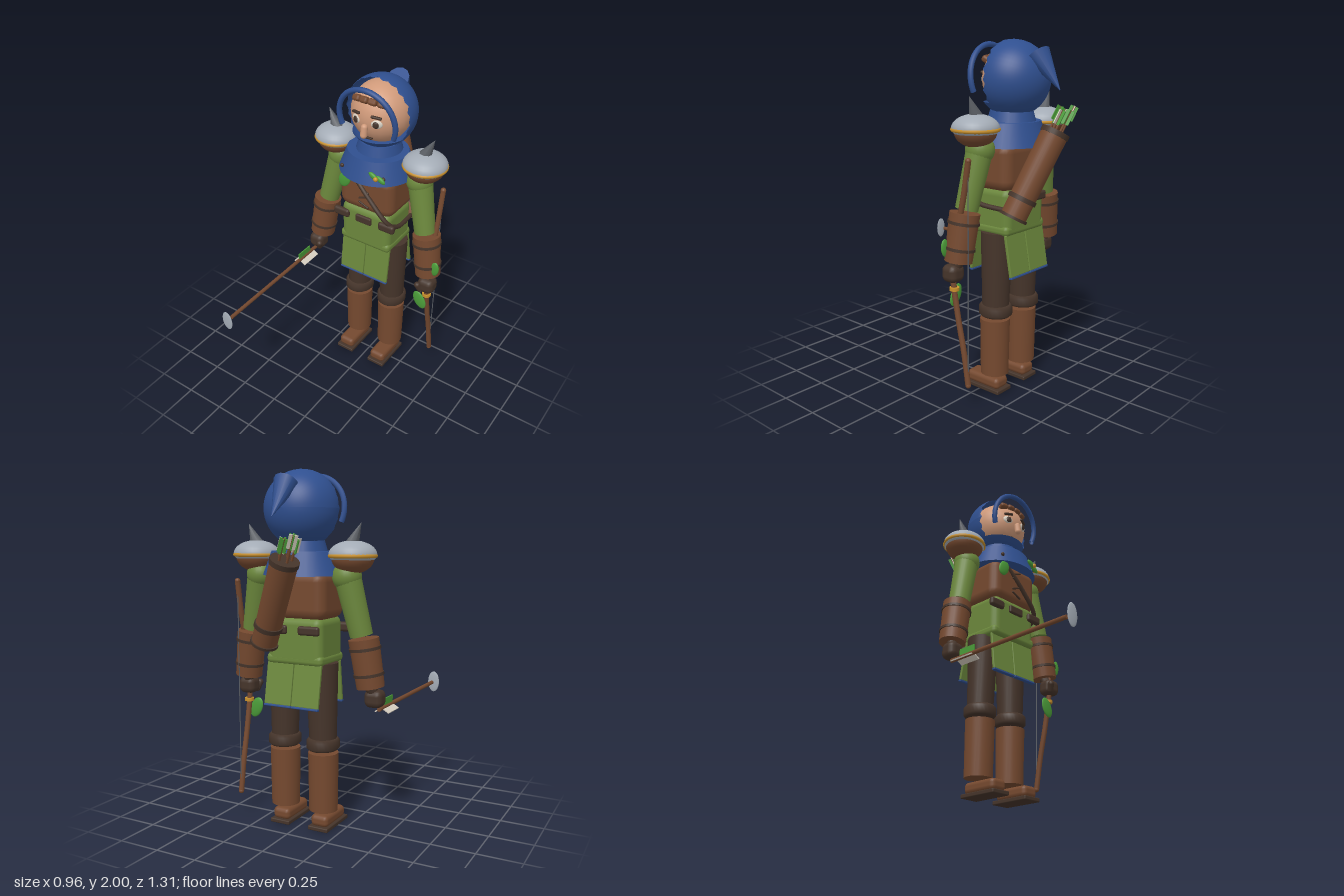
import * as THREE from 'three';
import { RoundedBoxGeometry } from 'three/addons/geometries/RoundedBoxGeometry.js';

const mat = (name, color, side = THREE.FrontSide) => {
  const m = new THREE.MeshStandardMaterial({ color, side });
  m.name = name;
  return m;
};
const V = (x, y, z) => new THREE.Vector3(x, y, z);

export function createModel() {
  const blue = mat('blue cloth', 0x2f4f8f, THREE.DoubleSide);
  const skin = mat('skin', 0xd09a7a);
  const green = mat('green cloth', 0x6b873c);
  const leather = mat('leather', 0x75492f);
  const dark = mat('dark leather', 0x45342a);
  const silver = mat('silver', 0xa3abb5);
  const steel = mat('dark steel', 0x5c6066);
  const gold = mat('gold', 0xc8902c);
  const leafGreen = mat('leaf green', 0x4a9a38);
  const ivory = mat('ivory', 0xd8d0c2);

  const model = new THREE.Group();
  const body = new THREE.Group();
  body.name = 'archer';
  body.position.x = -0.008;
  model.add(body);

  const add = (name, geo, m, p, r = [0, 0, 0], s = [1, 1, 1]) => {
    const mesh = new THREE.Mesh(geo, m);
    mesh.name = name;
    mesh.position.set(...p);
    mesh.rotation.set(...r);
    mesh.scale.set(...s);
    body.add(mesh);
    return mesh;
  };
  const box = (w, h, d, r = 0.01) => new RoundedBoxGeometry(w, h, d, 2, r);
  const ball = (name, m, p, s, r) => add(name, new THREE.SphereGeometry(1, 24, 16), m, p, r, s);
  // Cylinder or cone running from a to b
  const rod = (name, m, a, b, ra, rb, sides = 24) => {
    const dir = b.clone().sub(a);
    const mesh = add(name, new THREE.CylinderGeometry(rb, ra, dir.length(), sides), m,
      a.clone().add(b).multiplyScalar(0.5).toArray());
    mesh.quaternion.setFromUnitVectors(V(0, 1, 0), dir.normalize());
    return mesh;
  };
  // Band around the axis a-b, from fraction t0 to t1
  const band = (name, m, a, b, t0, t1, r) => rod(name, m, a.clone().lerp(b, t0), a.clone().lerp(b, t1), r, r);

  // Head and face
  ball('head', skin, [0, 1.79, -0.335], [0.176, 0.178, 0.176]);
  for (const s of [-1, 1]) {
    ball('eyeWhite', ivory, [s * 0.066, 1.785, -0.178], [0.033, 0.026, 0.012], [0, s * 0.38, 0]);
    ball('iris', dark, [s * 0.065, 1.783, -0.168], [0.018, 0.02, 0.008], [0, s * 0.38, 0]);
    add('eyebrow', box(0.06, 0.014, 0.018, 0.005), dark, [s * 0.065, 1.826, -0.172], [0, s * 0.38, -s * 0.15]);
  }
  add('nose', new THREE.CapsuleGeometry(0.02, 0.045, 6, 14), skin, [0, 1.735, -0.153], [-0.15, 0, 0]);
  add('mouth', box(0.055, 0.013, 0.03, 0.005), dark, [0, 1.678, -0.2]);
  for (let i = 0; i < 4; i++) {
    const x = (i - 1.5) * 0.052;
    add('hairLock', box(0.054, 0.038, 0.06, 0.015), leather, [x, 1.895 - x * x, -0.2 - x * x * 2], [-0.5, x * 3, 0]);
  }

  // Hood with a ragged front edge
  const hood = new THREE.SphereGeometry(0.209, 44, 20, 0, Math.PI * 2, 0, 1.8);
  hood.rotateX(-Math.PI / 2);
  const hp = hood.attributes.position;
  for (let i = 0; i < 45; i++) {
    const k = 20 * 45 + i;
    hp.setZ(k, hp.getZ(k) - [0, 0.018, 0.006, 0.024][i % 4]);
  }
  hood.computeVertexNormals();
  add('hood', hood, blue, [0, 1.79, -0.325]);
  add('hoodChin', new THREE.SphereGeometry(0.206, 36, 10, 0, Math.PI * 2, 2.22, Math.PI - 2.22), blue, [0, 1.79, -0.33]);
  rod('hoodNeck', blue, V(0, 1.55, -0.32), V(0, 1.62, -0.32), 0.14, 0.12);
  rod('hoodPoint', blue, V(0, 1.92, -0.49), V(0, 1.74, -0.635), 0.068, 0.002, 12);
  const brim = new THREE.TorusGeometry(0.182, 0.016, 8, 40, Math.PI + 0.8);
  brim.rotateZ(-0.4);
  add('hoodBrim', brim, blue, [0, 1.79, -0.18], [0.12, 0, 0]);

  // Mantle over the shoulders
  add('mantle', new THREE.CylinderGeometry(0.17, 0.215, 0.13, 36), blue, [0, 1.498, -0.305], [0, 0, 0], [1.08, 1, 1]);
  for (const s of [-1, 1]) ball('mantleStud', dark, [s * 0.14, 1.48, -0.142], [0.012, 0.012, 0.01]);

  // Torso
  add('chest', box(0.37, 0.27, 0.28, 0.06), leather, [0, 1.325, -0.3]);
  add('tunic', box(0.34, 0.27, 0.27, 0.045), green, [0, 1.075, -0.3]);
  add('tunicHem', box(0.35, 0.06, 0.27, 0.025), green, [0, 0.975, -0.3]);
  for (let i = 0; i < 4; i++)
    add('lacing', box(0.075, 0.011, 0.012, 0.004), dark, [0, 1.4 - i * 0.05, -0.158], [0, 0, i % 2 ? -0.4 : 0.4]);
  const strapPath = [V(-0.1, 1.45, -0.17), V(0.04, 1.31, -0.152), V(0.17, 1.17, -0.165), V(0.19, 1.12, -0.24), V(0.18, 1.1, -0.42)];
  add('quiverStrap', new THREE.TubeGeometry(new THREE.CatmullRomCurve3(strapPath), 30, 0.014, 8), dark, [0, 0, 0]);

  // Belt pieces and buckle
  for (const s of [-1, 1]) {
    add('frontBeltPouch', box(0.11, 0.055, 0.035, 0.017), dark, [s * 0.158, 1.14, -0.165]);
    add('backBeltPouch', box(0.13, 0.05, 0.03, 0.014), dark, [s * 0.1, 1.14, -0.437]);
  }
  add('beltPlate', box(0.11, 0.05, 0.025), dark, [0, 1.14, -0.162]);
  add('buckle', box(0.065, 0.045, 0.02, 0.006), gold, [0, 1.14, -0.178]);

  // Skirt panels with trim, front and back
  for (const [z, tilt] of [[-0.185, -0.12], [-0.437, 0.18]])
    for (const s of [-1, 1]) {
      add('skirtPanel', box(0.168, 0.235, 0.018, 0.005), green, [s * 0.086, 0.837, z], [tilt, 0, 0]);
      const off = -0.122;
      add('skirtTrim', box(0.168, 0.013, 0.023, 0.004), blue,
        [s * 0.086, 0.837 + off * Math.cos(tilt), z + off * Math.sin(tilt)], [tilt, 0, 0]);
    }

  for (const s of [-1, 1]) {
    // Legs
    const x = s * 0.124;
    rod('thigh', dark, V(x, 0.5, -0.32), V(s * 0.116, 0.955, -0.32), 0.076, 0.092);
    add('kneeGuard', new THREE.LatheGeometry([[0, -0.033], [0.08, -0.033], [0.092, -0.02], [0.092, 0.02], [0.08, 0.035], [0, 0.035]]
      .map(([r, y]) => new THREE.Vector2(r, y)), 28), dark, [x, 0.496, -0.32], [0, 0, 0], [1, 1, 1.07]);
    rod('boot', leather, V(x, 0.11, -0.317), V(x, 0.445, -0.317), 0.081, 0.086);
    add('shoe', box(0.108, 0.068, 0.235, 0.026), leather, [x, 0.054, -0.262]);
    add('sole', box(0.124, 0.024, 0.26, 0.006), dark, [x, 0.012, -0.262]);

    // Arms
    ball('shoulder', green, [s * 0.272, 1.43, -0.325], [0.08, 0.08, 0.08]);
    rod('upperArm', green, V(s * 0.345, 1.115, -0.295), V(s * 0.275, 1.43, -0.325), 0.063, 0.073);
    const top = V(s * 0.358, 1.1, -0.295), low = V(s * 0.395, 0.835, -0.28);
    rod('bracer', leather, top, low, 0.084, 0.077);
    band('bracerBand', dark, top, low, 0.17, 0.23, 0.088);
    band('bracerBand', dark, top, low, 0.7, 0.76, 0.084);
    rod('wrist', dark, low, V(s * 0.405, 0.79, -0.262), 0.032, 0.032, 12);
    add('glove', box(0.105, 0.1, 0.1, 0.035), dark, [s * 0.41, 0.77, -0.255]);
    add('thumb', new THREE.CapsuleGeometry(0.02, 0.04, 4, 10), dark, [s * 0.375, 0.76, -0.21], [0.4, 0, s * 0.3]);

    // Pauldrons
    const px = s * 0.303, pz = -0.32;
    const half = (t) => new THREE.SphereGeometry(1, 32, 8, 0, Math.PI * 2, t, Math.PI / 2);
    add('pauldronDome', half(0), silver, [px, 1.545, pz], [0, 0, 0], [0.13, 0.076, 0.128]);
    add('pauldronUnderside', half(Math.PI / 2), silver, [px, 1.545, pz], [0, 0, 0], [0.13, 0.055, 0.128]);
    add('pauldronRim', new THREE.TorusGeometry(0.122, 0.011, 8, 36), gold, [px, 1.54, pz], [Math.PI / 2, 0, 0]);
    add('pauldronPad', half(Math.PI / 2), leather, [px, 1.53, pz], [0, 0, 0], [0.115, 0.085, 0.115]);
    rod('pauldronSpike', steel, V(s * 0.298, 1.6, pz), V(s * 0.352, 1.712, pz), 0.04, 0.001, 8);
  }

  // Loose arrow held forward in the right hand
  const ax = -0.427, ay = 0.705;
  rod('arrowShaft', leather, V(ax, ay, -0.24), V(ax, ay, 0.6), 0.012, 0.012, 10);
  ball('arrowHead', silver, [ax, ay, 0.634], [0.037, 0.066, 0.007]);
  for (let i = 0; i < 3; i++) {
    const a = Math.PI / 2 + i * Math.PI * 2 / 3;
    add('arrowFin', new THREE.BoxGeometry(0.045, 0.007, i ? 0.14 : 0.115), i ? ivory : leafGreen,
      [ax + Math.cos(a) * 0.026, ay + Math.sin(a) * 0.026, i ? -0.13 : -0.113], [0, 0, a]);
  }

  // Bow in the left hand
  const bx = 0.408;
  const limb = [[1.39, -0.362], [1.2, -0.33], [1, -0.285], [0.77, -0.252], [0.54, -0.285], [0.33, -0.33], [0.14, -0.362]]
    .map(([y, z]) => V(bx, y, z));
  const bow = new THREE.CatmullRomCurve3(limb);
  add('bowStave', new THREE.TubeGeometry(bow, 40, 0.016, 8), leather, [0, 0, 0]);
  for (const p of [limb[0], limb[6]]) ball('bowTip', leather, p.toArray(), [0.016, 0.016, 0.016]);
  rod('bowString', steel, limb[0], limb[6], 0.003, 0.003, 6);
  for (const y of [0.86, 0.68])
    add('gripRing', new THREE.CylinderGeometry(0.028, 0.028, 0.018, 14), gold, [bx, y, -0.262]);

  // Leaves: position, size, roll
  const leaves = [[0.457, 0.915, -0.24, 0.028, 0.05, -0.1], [0.372, 0.63, -0.24, 0.04, 0.065, 0.45],
    [-0.125, 1.39, -0.145, 0.038, 0.055, -0.45], [0.09, 1.497, -0.117, 0.016, 0.034, 1.05], [0.13, 1.48, -0.128, 0.016, 0.034, 1.05]];
  for (const [x, y, z, w, h, roll] of leaves) ball('leaf', leafGreen, [x, y, z], [w, h, 0.012], [0, 0, roll]);
  ball('leafBrooch', gold, [0.11, 1.488, -0.108], [0.014, 0.014, 0.012]);

  // Quiver on the back, mouth behind the right shoulder
  const q0 = V(0.165, 1.06, -0.465), q1 = V(-0.045, 1.52, -0.585);
  rod('quiver', leather, q0, q1, 0.072, 0.075);
  for (const [t0, t1] of [[0, 0.03], [0.2, 0.25], [0.95, 1.005]]) band('quiverBand', dark, q0, q1, t0, t1, 0.08);
  const up = q1.clone().sub(q0).normalize();
  for (let i = 0; i < 5; i++) {
    const a = i * Math.PI * 0.4;
    const base = q1.clone().add(V(Math.cos(a) * 0.038, 0, Math.sin(a) * 0.038));
    const at = (d) => base.clone().addScaledVector(up, d);
    rod('quiverArrow', leather, at(-0.05), at(0.125 + (i % 2) * 0.02), 0.007, 0.007, 8);
    for (let k = 0; k < 2; k++) {
      const fin = add('quiverFin', new THREE.BoxGeometry(0.046, 0.08, 0.006), (i + k) % 3 ? leafGreen : ivory,
        at(0.085 + (i % 2) * 0.02).toArray());
      fin.quaternion.setFromUnitVectors(V(0, 1, 0), up);
      fin.rotateY(a + k * Math.PI / 2);
    }
  }
  return model;
}
